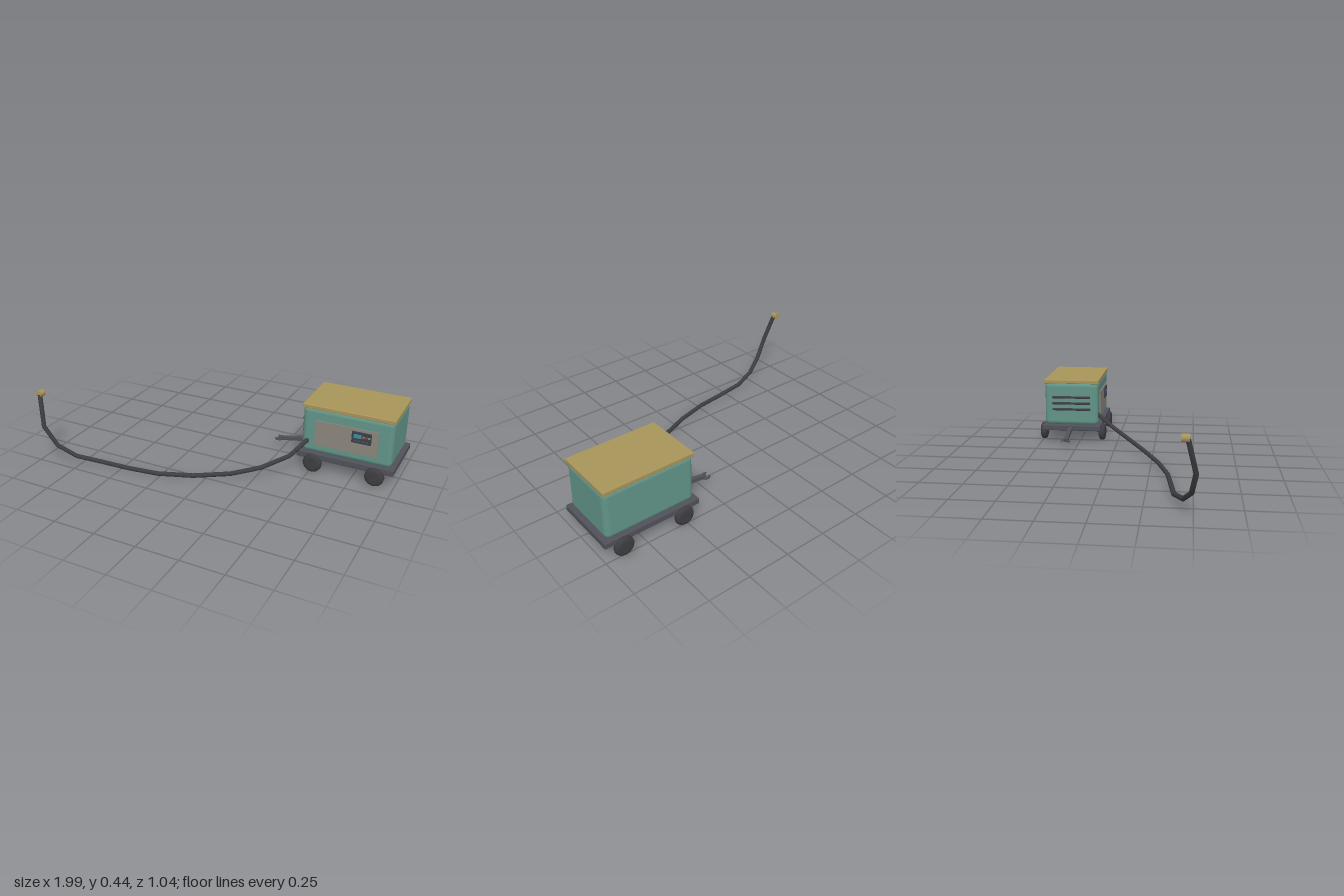
import * as THREE from 'three';
import { RoundedBoxGeometry } from 'three/addons/geometries/RoundedBoxGeometry.js';

const paint = (color) => new THREE.MeshStandardMaterial({ color });

export function createModel() {
  const group = new THREE.Group();
  const teal = paint(0x629488), gold = paint(0xa8945a), steel = paint(0x50505a);
  const rubber = paint(0x3e3e42), panelGrey = paint(0x8c867c), dark = paint(0x38404c);

  const add = (name, geometry, material, x = 0, y = 0, z = 0) => {
    const mesh = new THREE.Mesh(geometry, material);
    mesh.name = name;
    mesh.position.set(x, y, z);
    group.add(mesh);
    return mesh;
  };
  const box = (w, h, d, r) => r
    ? new RoundedBoxGeometry(w, h, d, 3, r)
    : new THREE.BoxGeometry(w, h, d);

  // Trailer: chassis, housing and roof
  const cx = 0.704, cz = -0.3;
  add('chassis', box(0.58, 0.035, 0.384, 0.005), steel, cx, 0.1, cz);
  add('housing', box(0.535, 0.285, 0.35, 0.03), teal, cx, 0.256, cz);
  add('roof', box(0.54, 0.024, 0.358, 0.004), gold, cx, 0.403, cz);

  // Wheels: rounded tyre profile turned about its axle
  const tyre = new THREE.LatheGeometry([
    [0, -0.02], [0.036, -0.022], [0.05, -0.017], [0.057, -0.008],
    [0.057, 0.008], [0.05, 0.017], [0.036, 0.022], [0, 0.02],
  ].map(([r, h]) => new THREE.Vector2(r, h)), 12).rotateX(Math.PI / 2);
  for (const x of [0.517, 0.889])
    for (const z of [-0.105, -0.495]) add('wheel', tyre, rubber, x, 0.058, z);

  // Front control panel with a small display and keys
  add('controlPanel', box(0.372, 0.156, 0.012), panelGrey, 0.703, 0.248, -0.125);
  add('displayUnit', box(0.114, 0.07, 0.012, 0.003), dark, 0.793, 0.275, -0.118);
  add('screen', box(0.045, 0.024, 0.004), paint(0x3f8f98), 0.772, 0.284, -0.112);
  [0xb0763c, 0x9c4238, 0x6c9a58].forEach((color, i) =>
    add('key', box(0.012, 0.012, 0.004), paint(color), 0.806 + i * 0.016, 0.284, -0.112));
  for (let i = 0; i < 4; i++)
    add('lowerKey', box(0.014, 0.008, 0.004), steel, 0.76 + i * 0.022, 0.256, -0.112);

  // Louvres across the hitch end of the housing
  for (const y of [0.222, 0.262, 0.302])
    add('louvre', box(0.02, 0.014, 0.25, 0.004), rubber, 0.433, y, cz);

  // Drawbar sloping down to a forked coupling
  const bar = add('drawbar', box(0.2, 0.02, 0.026), steel, 0.33, 0.082, cz - 0.005);
  bar.rotation.z = 0.17;
  const eye = new THREE.TorusGeometry(0.021, 0.008, 6, 10, Math.PI * 1.55)
    .rotateZ(Math.PI * 1.225).rotateX(Math.PI / 2).rotateY(Math.PI);
  const coupling = add('coupling', eye, steel, 0.225, 0.063, cz - 0.005);
  coupling.rotation.y = Math.PI;

  // Hose: straight runs between the listed bends
  const path = new THREE.CatmullRomCurve3([
    [0.475, 0.19, -0.135], [0.405, 0.115, -0.02], [0.28, 0.067, 0.1], [0.135, 0.04, 0.2],
    [-0.06, 0.026, 0.295], [-0.26, 0.02, 0.357], [-0.44, 0.021, 0.38], [-0.62, 0.03, 0.4],
    [-0.765, 0.057, 0.448], [-0.865, 0.123, 0.488], [-0.937, 0.24, 0.507], [-0.978, 0.42, 0.465],
  ].map((p) => new THREE.Vector3(...p)));
  path.getPointAt = path.getPoint;
  path.getTangentAt = path.getTangent;
  add('hose', new THREE.TubeGeometry(path, 11, 0.0135, 8), rubber);

  // Brass end fitting
  add('hoseFitting', new THREE.CylinderGeometry(0.02, 0.02, 0.04, 10).rotateX(Math.PI / 2),
    gold, -0.98, 0.423, 0.454);

  return group;
}
